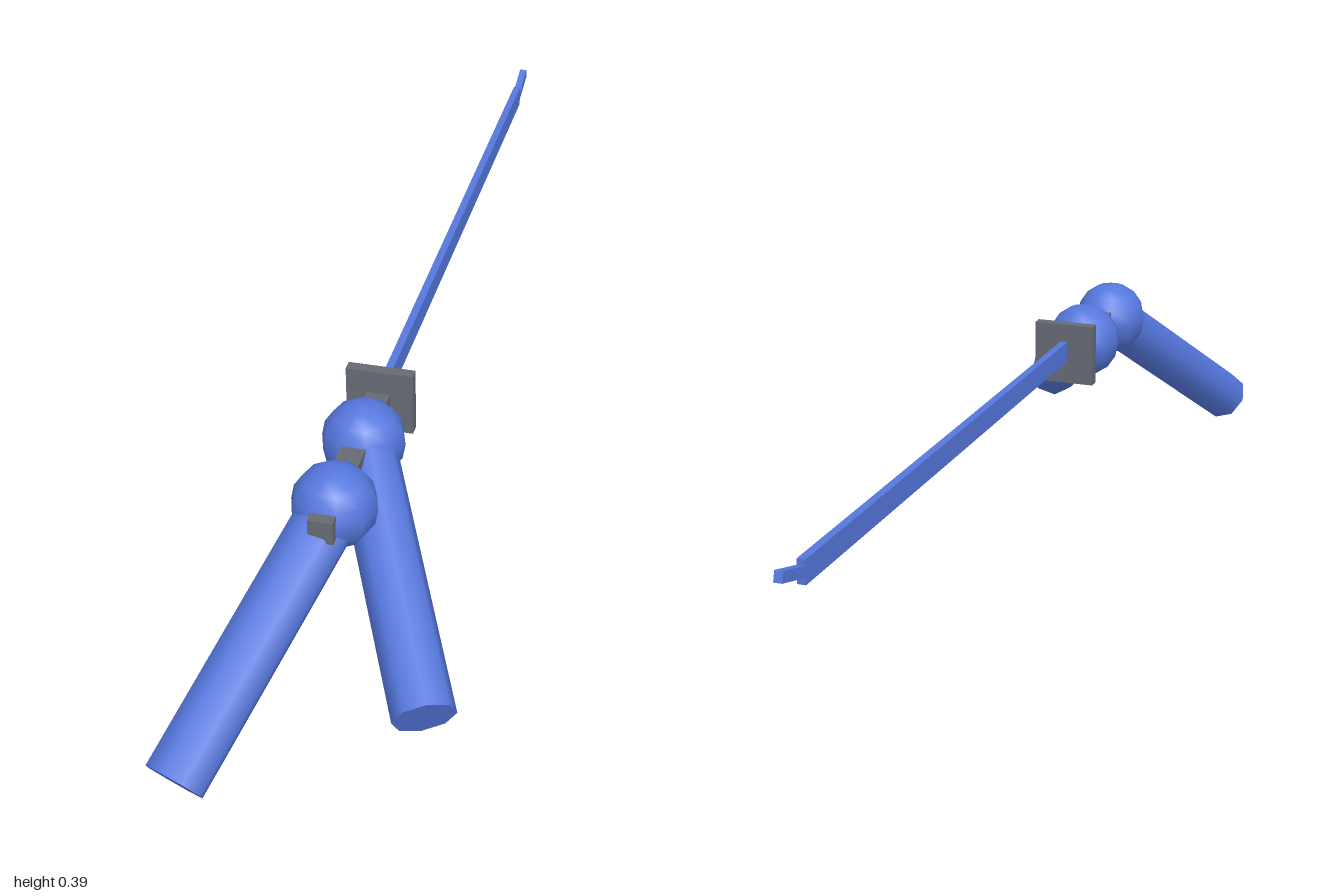
import * as THREE from 'three';

const CX = -0.025; // shared centre line of blade, grip and hands
const HAND_Y = 0.322;

export function createModel() {
  const model = new THREE.Group();
  const blue = new THREE.MeshStandardMaterial({ color: 0x5577dd });
  const grey = new THREE.MeshStandardMaterial({ color: 0x666a73 });

  const add = (parent, name, geometry, material, x, y, z) => {
    const mesh = new THREE.Mesh(geometry, material);
    mesh.name = name;
    mesh.position.set(x, y, z);
    parent.add(mesh);
    return mesh;
  };

  // Sword lying along z
  const sword = new THREE.Group();
  sword.name = 'sword';
  model.add(sword);
  add(sword, 'blade', new THREE.BoxGeometry(0.014, 0.04, 1.19), blue, CX, 0.332, -0.33);
  const tip = add(sword, 'bladeTip', new THREE.BoxGeometry(0.014, 0.018, 0.085), blue, CX, 0.342, -0.957);
  tip.rotation.x = 0.27;
  add(sword, 'guard', new THREE.BoxGeometry(0.119, 0.119, 0.021), grey, CX, 0.328, 0.275);
  add(sword, 'grip', new THREE.BoxGeometry(0.042, 0.042, 0.366), grey, CX, 0.329, 0.477);

  // Each arm: a ball hand on the grip and an eight-sided forearm running from it
  const addArm = (name, handZ, end) => {
    const arm = new THREE.Group();
    arm.name = name;
    model.add(arm);
    const hand = new THREE.Vector3(CX, HAND_Y, handZ);
    add(arm, 'hand', new THREE.SphereGeometry(0.073, 10, 8), blue, ...hand.toArray());
    const geometry = new THREE.CylinderGeometry(0.053, 0.053, hand.distanceTo(end), 8);
    geometry.rotateX(Math.PI / 2);
    const middle = hand.clone().lerp(end, 0.5);
    add(arm, 'forearm', geometry, blue, ...middle.toArray()).lookAt(end);
  };
  addArm('rightArm', 0.575, new THREE.Vector3(-0.181, 0.047, 0.968));
  addArm('leftArm', 0.392, new THREE.Vector3(0.18, 0.113, 0.808));

  return model;
}
